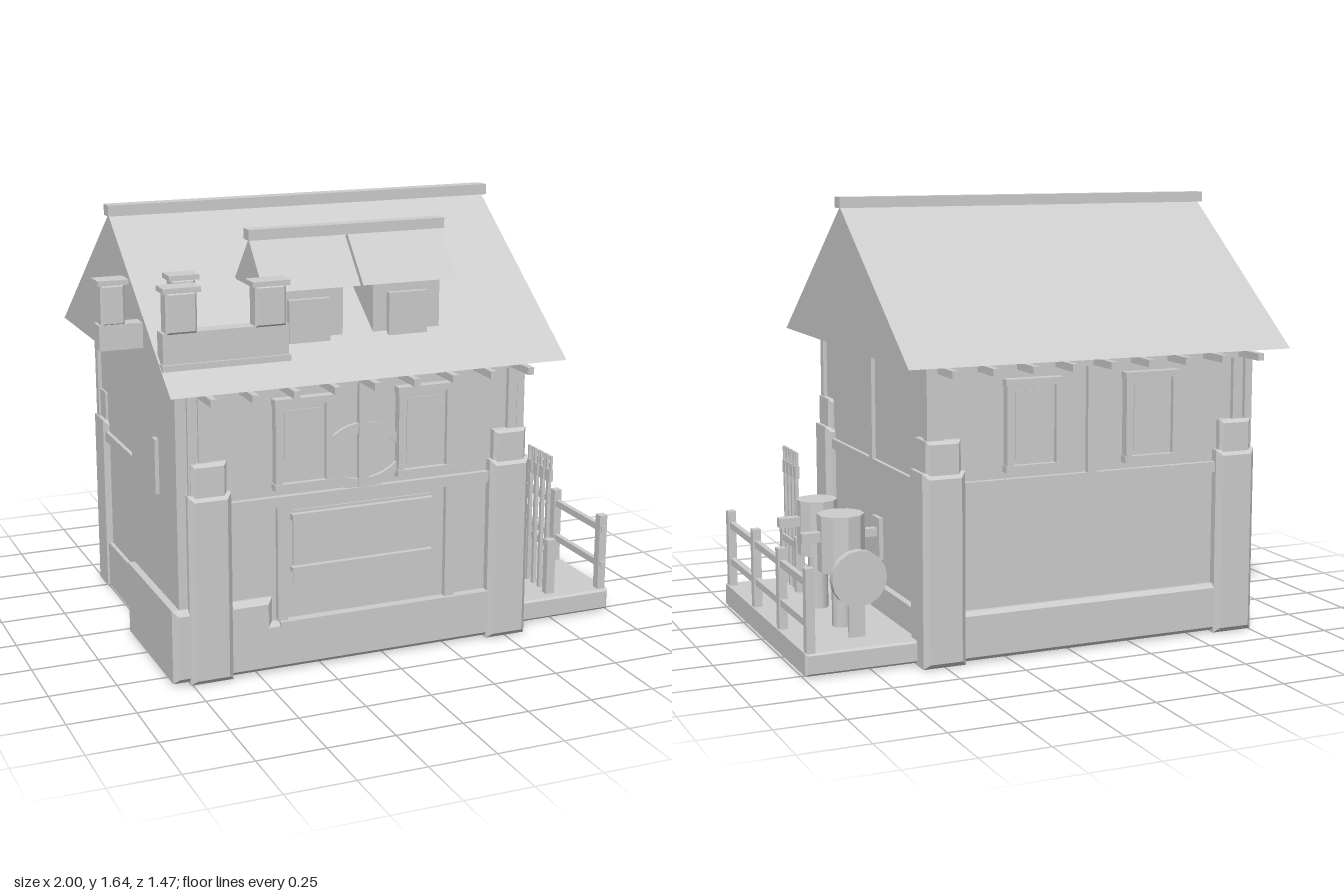
import * as THREE from 'three';

export function createModel() {
  const root = new THREE.Group();
  const grey = new THREE.MeshStandardMaterial({ color: 0xcccccc });
  grey.name = 'plainGrey';

  function add(name, geo, x = 0, y = 0, z = 0) {
    const m = new THREE.Mesh(geo, grey);
    m.name = name;
    m.position.set(x, y, z);
    root.add(m);
    return m;
  }
  // box given by its limits on each axis
  const box = (name, x0, x1, y0, y1, z0, z1) =>
    add(name, new THREE.BoxGeometry(x1 - x0, y1 - y0, z1 - z0), (x0 + x1) / 2, (y0 + y1) / 2, (z0 + z1) / 2);
  // box with chamfered edges
  function stone(name, x0, x1, y0, y1, z0, z1, b = 0.015) {
    const s = new THREE.Shape([[x0 + b, y0 + b], [x1 - b, y0 + b], [x1 - b, y1 - b], [x0 + b, y1 - b]]
      .map(p => new THREE.Vector2(...p)));
    const g = new THREE.ExtrudeGeometry(s, { depth: z1 - z0 - 2 * b, bevelEnabled: true, bevelSize: b, bevelThickness: b, bevelSegments: 1 });
    return add(name, g, 0, 0, z0 + b);
  }
  // triangular prism running along x
  function prism(name, x0, x1, zc, half, y0, y1) {
    const s = new THREE.Shape([new THREE.Vector2(-half, y0), new THREE.Vector2(half, y0), new THREE.Vector2(0, y1)]);
    const g = new THREE.ExtrudeGeometry(s, { depth: x1 - x0, bevelEnabled: false });
    g.rotateY(Math.PI / 2);
    return add(name, g, x0, 0, zc);
  }

  // walls and plinth
  box('walls', -0.735, 0.545, 0.01, 1.09, -0.575, 0.575);
  stone('plinth', -0.75, 0.57, 0.008, 0.19, -0.605, 0.605);

  // corner pillars
  for (const [x0, x1] of [[-0.757, -0.596], [0.42, 0.582]]) {
    for (const [z0, z1] of [[0.465, 0.624], [-0.624, -0.465]]) {
      stone('cornerPillar', x0, x1, 0, 0.705, z0, z1, 0.02);
      stone('pillarCap', x0 + 0.015, x1 - 0.015, 0.68, 0.818, z0 + 0.012, z1 - 0.012, 0.012);
    }
  }

  // chimney breast on the left-hand gable
  box('chimneyBreast', -0.79, -0.6, 0.02, 1.12, 0.04, 0.585);
  stone('chimneyBreastBase', -0.817, -0.44, 0.008, 0.285, 0.02, 0.605, 0.02);
  box('breastSlot', -0.805, -0.785, 0.655, 0.86, 0.35, 0.385);

  // timber frame, front and back
  for (const s of [1, -1]) {
    const zBox = (n, x0, x1, y0, y1, a, b) => box(n, x0, x1, y0, y1, Math.min(s * a, s * b), Math.max(s * a, s * b));
    zBox('middleBeam', -0.74, 0.56, 0.62, 0.66, 0.56, 0.597);
    zBox('topBeam', -0.74, 0.56, 1.05, 1.09, 0.56, 0.597);
    for (const x of [-0.69, -0.085, 0.515]) zBox('timberPost', x - 0.02, x + 0.02, 0.65, 1.06, 0.56, 0.595);
    // windows
    for (const x of [-0.322, 0.153]) {
      for (const d of [-1, 1]) zBox('windowJamb', x + d * 0.096 - 0.012, x + d * 0.096 + 0.012, 0.7, 1, 0.56, 0.61);
      zBox('windowSill', x - 0.112, x + 0.112, 0.685, 0.71, 0.56, 0.613);
      zBox('windowHead', x - 0.112, x + 0.112, 0.995, 1.02, 0.56, 0.613);
      zBox('windowInnerFrame', x - 0.086, x + 0.086, 0.71, 0.995, 0.56, 0.592);
      zBox('windowPane', x - 0.07, x + 0.07, 0.73, 0.975, 0.59, 0.596);
    }
    // rafter ends below the eaves
    for (let i = 0; i < 9; i++) {
      const x = -0.7 + i * 0.151;
      zBox('rafterEnd', x - 0.012, x + 0.012, 1.053, 1.08, 0.57, 0.737);
    }
  }

  // curved braces either side of the middle front post
  for (const d of [-1, 1]) {
    for (const [w, y0, y1] of [[0.13, 0.83, 0.88], [0.13, 0.72, 0.67]]) {
      const s = new THREE.Shape();
      s.moveTo(0, y1 - 0.02);
      s.quadraticCurveTo(d * w * 0.6, y1 - 0.02, d * w, y0 - 0.02);
      s.lineTo(d * w, y0 + 0.02);
      s.quadraticCurveTo(d * w * 0.6, y1 + 0.02, 0, y1 + 0.02);
      add('curvedBrace', new THREE.ExtrudeGeometry(s, { depth: 0.02, bevelEnabled: false, curveSegments: 5 }), -0.085, 0, 0.57);
    }
  }

  // front counter panel
  box('counterPost', -0.42, -0.382, 0.19, 0.62, 0.56, 0.597);
  box('counterPost', 0.245, 0.285, 0.19, 0.62, 0.56, 0.597);
  box('counterPanel', -0.355, 0.183, 0.33, 0.6, 0.57, 0.582);
  box('counterRail', -0.365, 0.19, 0.565, 0.59, 0.57, 0.603);
  box('counterRail', -0.365, 0.19, 0.372, 0.39, 0.57, 0.603);
  box('counterStep', -0.415, 0.42, 0.17, 0.192, 0.57, 0.612);

  // timber frame on the gable sides
  for (const [x0, x1] of [[0.53, 0.56], [-0.75, -0.72]]) {
    box('sideMiddleBeam', x0, x1, 0.62, 0.66, -0.59, 0.59);
    box('sideTopBeam', x0, x1, 1.05, 1.09, -0.59, 0.59);
    box('sidePost', x0, x1, 0.65, 1.06, -0.02, 0.018);
    for (const z of [-0.58, 0.58]) box('sideCornerPost', x0, x1, 0.65, 1.06, z - 0.017, z + 0.017);
  }

  // main roof
  prism('mainRoof', -0.842, 0.668, 0, 0.71, 1.088, 1.608);
  box('roofRidge', -0.85, 0.678, 1.605, 1.645, -0.028, 0.028);

  // twin dormer
  for (const [x0, x1] of [[-0.457, -0.093], [-0.083, 0.285]]) prism('dormerRoof', x0, x1, 0.425, 0.15, 1.395, 1.56);
  box('dormerRidge', -0.465, 0.29, 1.558, 1.596, 0.398, 0.45);
  for (const [x0, x1, w0, w1] of [[-0.37, -0.145, -0.357, -0.202], [-0.028, 0.233, 0.025, 0.175]]) {
    box('dormerBody', x0, x1, 1.2, 1.4, 0.3, 0.535);
    box('dormerWindow', w0, w1, 1.203, 1.357, 0.5, 0.558);
  }

  // chimney stacks and pots
  box('frontStack', -0.835, -0.38, 1.17, 1.29, 0.55, 0.612);
  box('frontStackLedge', -0.84, -0.375, 1.16, 1.182, 0.54, 0.622);
  box('sideStack', -0.998, -0.63, 1.2, 1.29, 0.34, 0.405);
  for (const [x0, x1, z] of [[-0.835, -0.7, 0.585], [-0.515, -0.378, 0.585], [-1, -0.89, 0.37], [-0.745, -0.635, 0.37]]) {
    stone('chimneyPot', x0 + 0.012, x1 - 0.012, 1.285, 1.43, z - 0.034, z + 0.034, 0.008);
    box('chimneyPotCap', x0, x1, 1.428, 1.446, z - 0.041, z + 0.041);
  }

  // side deck with fence
  stone('deck', 0.5, 0.996, 0.008, 0.09, -0.543, 0.533, 0.008);
  for (const z of [-0.52, -0.19, 0.143, 0.5]) box('fencePost', 0.958, 0.99, 0.085, 0.392, z - 0.017, z + 0.017);
  for (const y of [0.19, 0.337]) box('fenceRail', 0.964, 0.984, y - 0.013, y + 0.013, -0.505, 0.525);

  // barrels on stands
  for (const [z, r] of [[0.045, 0.077], [-0.237, 0.087]]) {
    const body = new THREE.CylinderGeometry(r, r, 0.21, 10).toNonIndexed();
    body.computeVertexNormals();
    add('barrel', body, 0.76, 0.405, z);
    add('barrelStand', new THREE.CylinderGeometry(0.037, 0.037, 0.23, 10), 0.76, 0.195, z);
    box('barrelSpout', 0.8, 0.913, 0.412, 0.448, z - 0.018, z + 0.018);
  }
  box('barrelHandleBar', 0.62, 0.7, 0.415, 0.445, -0.252, -0.222);
  box('barrelHandlePlate', 0.61, 0.626, 0.33, 0.485, -0.275, -0.2);

  // grindstone
  const disc = new THREE.CylinderGeometry(0.103, 0.103, 0.033, 16);
  disc.rotateX(Math.PI / 2);
  add('grindstone', disc, 0.76, 0.312, -0.427);
  box('grindstoneStand', 0.73, 0.79, 0.085, 0.3, -0.41, -0.395);

  // garden tools in a rack
  for (const z of [0.45, 0.403, 0.355, 0.308]) {
    box('toolHandle', 0.753, 0.767, 0.09, 0.56, z - 0.008, z + 0.008);
    box('toolHead', 0.752, 0.768, 0.54, 0.59, z - 0.018, z + 0.018);
    for (const d of [-1, 1]) box('toolTine', 0.755, 0.765, 0.585, 0.645, z + d * 0.014 - 0.005, z + d * 0.014 + 0.005);
  }
  for (const z of [0.474, 0.287]) box('rackPost', 0.742, 0.778, 0.085, 0.31, z - 0.016, z + 0.016);
  box('rackRail', 0.766, 0.776, 0.263, 0.29, 0.287, 0.474);
  return root;
}
